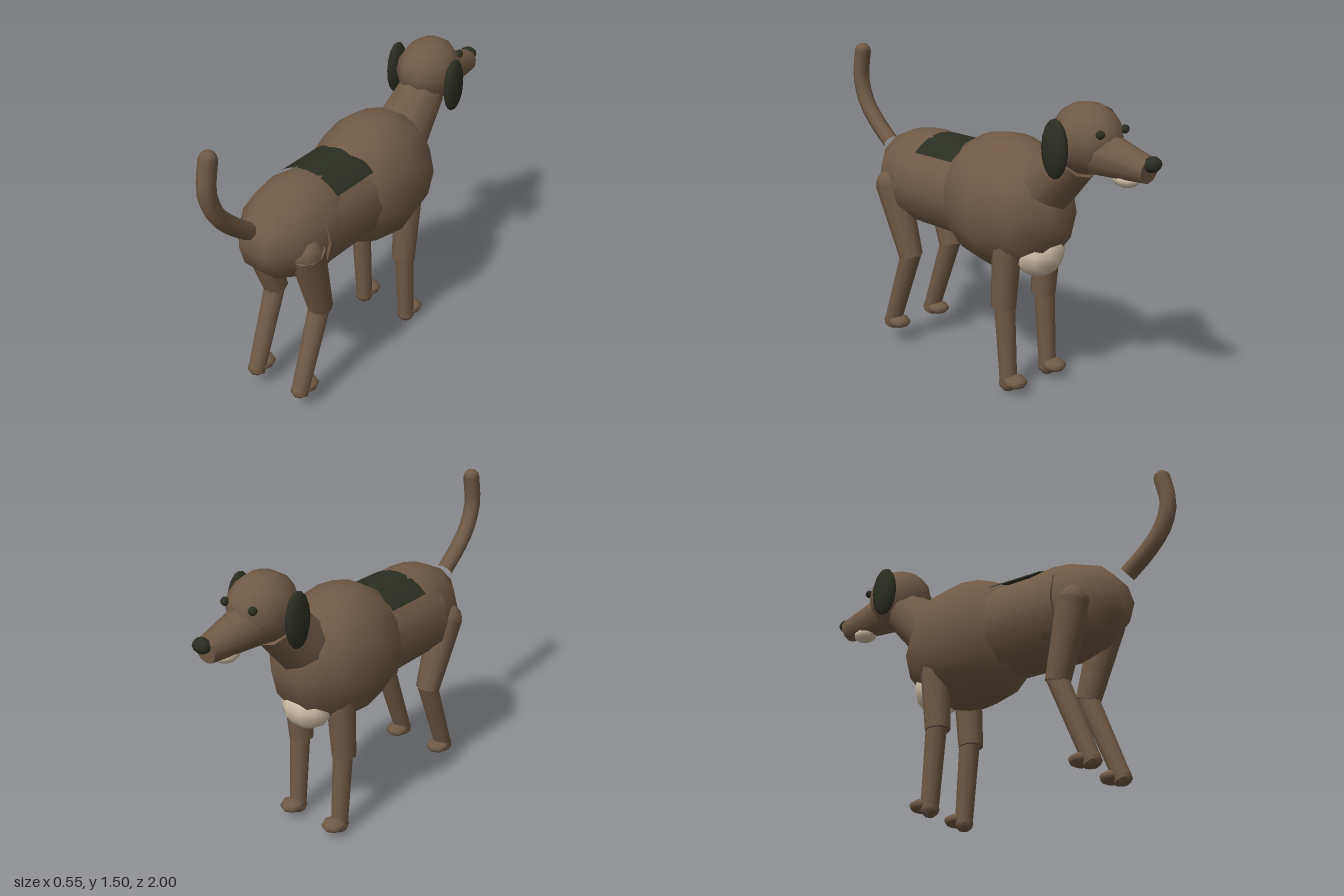
import * as THREE from 'three';

const material = (name, color) => {
  const m = new THREE.MeshStandardMaterial({ color });
  m.name = name;
  return m;
};

export function createModel() {
  const dog = new THREE.Group();
  dog.name = 'dog';
  const coat = material('brown coat', 0x705a46);
  const dark = material('dark markings', 0x2b2e22);
  const cream = material('cream fur', 0xd2c2aa);
  const patchMat = material('dark saddle', 0x2b2e22);
  patchMat.side = THREE.DoubleSide;

  const add = (name, geometry, mat, parent = dog) => {
    const mesh = new THREE.Mesh(geometry, mat);
    mesh.name = name;
    parent.add(mesh);
    return mesh;
  };

  // Ellipsoid with its poles up and down
  const ball = (name, mat, pos, radii, parent = dog, w = 10, h = 8) => {
    const mesh = add(name, new THREE.SphereGeometry(1, w, h), mat, parent);
    mesh.position.set(...pos);
    mesh.scale.set(...radii);
    return mesh;
  };

  // Tapered limb between two points
  const limb = (name, mat, from, to, r0, r1, parent = dog, sides = 10) => {
    const a = new THREE.Vector3(...from), b = new THREE.Vector3(...to);
    const dir = b.clone().sub(a);
    const mesh = add(name, new THREE.CylinderGeometry(r1, r0, dir.length(), sides), mat, parent);
    mesh.position.copy(a).add(b).multiplyScalar(0.5);
    mesh.quaternion.setFromUnitVectors(new THREE.Vector3(0, 1, 0), dir.normalize());
    return mesh;
  };

  // Body
  ball('chest', coat, [0, 0.89, -0.13], [0.275, 0.325, 0.37]);
  limb('torso', coat, [0, 0.89, -0.1], [0, 0.89, 0.45], 0.227, 0.227, dog, 12);
  ball('rump', coat, [0, 0.9, 0.39], [0.225, 0.24, 0.35]);
  ball('chestBib', cream, [0, 0.69, -0.33], [0.13, 0.12, 0.12]);

  // Saddle marking wrapped over the back
  const saddle = add('saddleMarking',
    new THREE.CylinderGeometry(0.246, 0.243, 0.26, 8, 1, true, -Math.PI / 4, Math.PI / 2), patchMat);
  saddle.rotation.x = -Math.PI / 2;
  saddle.position.set(0, 0.89, 0.205);

  // Neck and head
  limb('neck', coat, [0, 0.98, -0.33], [0, 1.185, -0.55], 0.15, 0.115);
  ball('head', coat, [0, 1.275, -0.605], [0.15, 0.16, 0.175]);
  limb('muzzle', coat, [0, 1.225, -0.68], [0, 1.195, -0.95], 0.105, 0.058);
  ball('nose', dark, [0, 1.226, -0.965], [0.045, 0.035, 0.037], dog, 8, 6);
  ball('chin', cream, [0, 1.14, -0.83], [0.052, 0.04, 0.065]);

  // Tail: curved tube with a rounded tip
  const tailPath = new THREE.CatmullRomCurve3([
    [0, 1.015, 0.73], [0, 1.1, 0.835], [0, 1.2, 0.92],
    [0, 1.315, 0.957], [0, 1.4, 0.948], [0, 1.465, 0.935],
  ].map(p => new THREE.Vector3(...p)));
  add('tail', new THREE.TubeGeometry(tailPath, 10, 0.041, 8), coat);
  ball('tailTip', coat, [0, 1.463, 0.936], [0.04, 0.037, 0.04], dog, 8, 6);

  // Mirrored parts
  for (const s of [1, -1]) {
    const side = s > 0 ? 'plusX' : 'minusX';
    ball(`ear ${side}`, dark, [s * 0.168, 1.248, -0.572], [0.034, 0.133, 0.072]);
    ball(`eye ${side}`, dark, [s * 0.08, 1.325, -0.748], [0.02, 0.02, 0.02], dog, 8, 6);

    const fore = new THREE.Group();
    fore.name = `frontLeg ${side}`;
    dog.add(fore);
    const x = s * 0.135;
    limb('upperLeg', coat, [x, 0.8, -0.262], [x, 0.42, -0.235], 0.072, 0.06, fore);
    limb('lowerLeg', coat, [x, 0.44, -0.243], [x, 0.035, -0.272], 0.05, 0.042, fore);
    ball('ankle', coat, [x, 0.042, -0.27], [0.045, 0.042, 0.045], fore, 8, 6);
    ball('paw', coat, [x, 0.062, -0.315], [0.058, 0.032, 0.062], fore, 8, 6);

    const hind = new THREE.Group();
    hind.name = `hindLeg ${side}`;
    dog.add(hind);
    ball('hip', coat, [s * 0.16, 0.86, 0.535], [0.078, 0.078, 0.078], hind, 8, 6);
    limb('thigh', coat, [s * 0.155, 0.87, 0.535], [x, 0.5, 0.425], 0.085, 0.06, hind);
    limb('shank', coat, [x, 0.53, 0.42], [x, 0.085, 0.59], 0.052, 0.043, hind);
    ball('ankle', coat, [x, 0.105, 0.585], [0.045, 0.042, 0.045], hind, 8, 6);
    ball('paw', coat, [x, 0.112, 0.535], [0.058, 0.032, 0.062], hind, 8, 6);
  }
  return dog;
}
